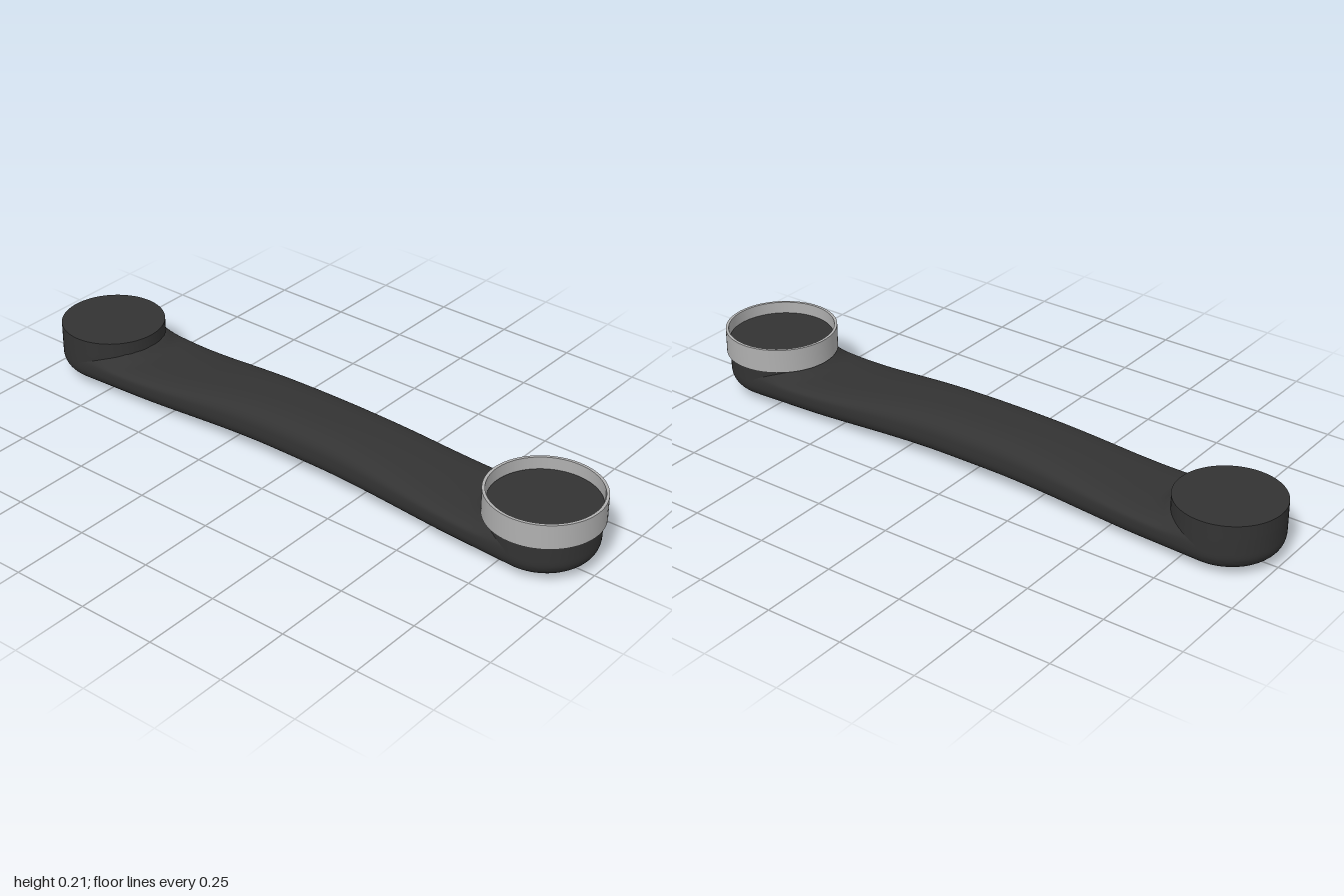
import * as THREE from 'three';
import { toCreasedNormals } from 'three/addons/utils/BufferGeometryUtils.js';

const R = 0.165;          // cup radius
const BASE = 0.003;       // underside of the cups
const MID = 0.085;        // height where the cup walls become vertical
const CUPS = [{ name: 'front', z: 0.824 }, { name: 'back', z: -0.835 }];

const dark = new THREE.MeshStandardMaterial({ color: 0x333333 });
const light = new THREE.MeshStandardMaterial({ color: 0xb0b0b0 });

// Signed power, for superellipse sections
const spow = (v, n) => Math.sign(v) * Math.pow(Math.abs(v), 2 / n);

function lathe(name, pts, material, z) {
  const g = new THREE.LatheGeometry(pts.map(p => new THREE.Vector2(...p)), 72);
  const mesh = new THREE.Mesh(toCreasedNormals(g, 0.6), material);
  mesh.name = name;
  mesh.position.z = z;
  return mesh;
}

// Arched, waisted handle: superellipse sections lofted along z
function handleGeometry() {
  const rows = 120, cols = 56, pos = [], idx = [];
  const z0 = CUPS[1].z, z1 = CUPS[0].z;
  for (let i = 0; i <= rows; i++) {
    const z = z0 + (z1 - z0) * i / rows, a = Math.abs(z);
    const wave = Math.cos(Math.PI * Math.min(1, Math.pow(a / 0.64, 1.3)));
    const top = 0.1425 + 0.0245 * wave;
    const bottom = 0.014 + 0.011 * wave;
    const mid = MID + 0.005 * (wave + 1);
    const flare = THREE.MathUtils.clamp((a - 0.12) / 0.7, 0, 1);
    const width = 0.132 + (R - 0.132) * Math.pow(flare, 1.3);
    const cup = z > 0 ? z1 : z0;
    for (let j = 0; j < cols; j++) {
      const t = 2 * Math.PI * j / cols, n = Math.sin(t) > 0 ? 3 : 2.5;
      const x = width * spow(Math.cos(t), n), s = spow(Math.sin(t), n);
      let y = mid + s * (s > 0 ? top - mid : mid - bottom);
      // fillet rising to the cup wall
      const d = Math.max(0, Math.hypot(x, z - cup) - R);
      if (s > 0) y += 0.022 * s * Math.pow(Math.max(0, 1 - d / 0.05), 2);
      pos.push(x, y, z);
    }
  }
  for (let i = 0; i < rows; i++) {
    for (let j = 0; j < cols; j++) {
      const k = (j + 1) % cols;
      const a = i * cols + j, b = i * cols + k, c = a + cols, d = b + cols;
      idx.push(a, b, c, b, d, c);
    }
  }
  const g = new THREE.BufferGeometry();
  g.setAttribute('position', new THREE.Float32BufferAttribute(pos, 3));
  g.setIndex(idx);
  g.computeVertexNormals();
  return g;
}

export function createModel() {
  const group = new THREE.Group();
  const handle = new THREE.Mesh(handleGeometry(), dark);
  handle.name = 'handle';
  group.add(handle);

  // Rounded cup underside, matching the handle's lower section
  const bowl = [];
  for (let i = 0; i <= 20; i++) {
    const t = Math.PI / 2 * i / 20;
    bowl.push([R * spow(Math.sin(t), 2.5), MID - (MID - BASE) * spow(Math.cos(t), 2.5)]);
  }
  bowl[0][0] = 0;
  bowl.push([R, 0.137], [0, 0.137]);

  for (const { name, z } of CUPS) {
    group.add(lathe(name + 'Cup', bowl, dark, z));
    group.add(lathe(name + 'Cap', [[0, 0.137], [R, 0.137], [R, 0.178], [0, 0.178]], dark, z));
  }

  // Raised collar around the front cap
  group.add(lathe('frontCollar',
    [[0.177, 0.137], [0.177, 0.215], [0.168, 0.215], [0.168, 0.137], [0.177, 0.137]],
    light, 0.823));
  return group;
}
